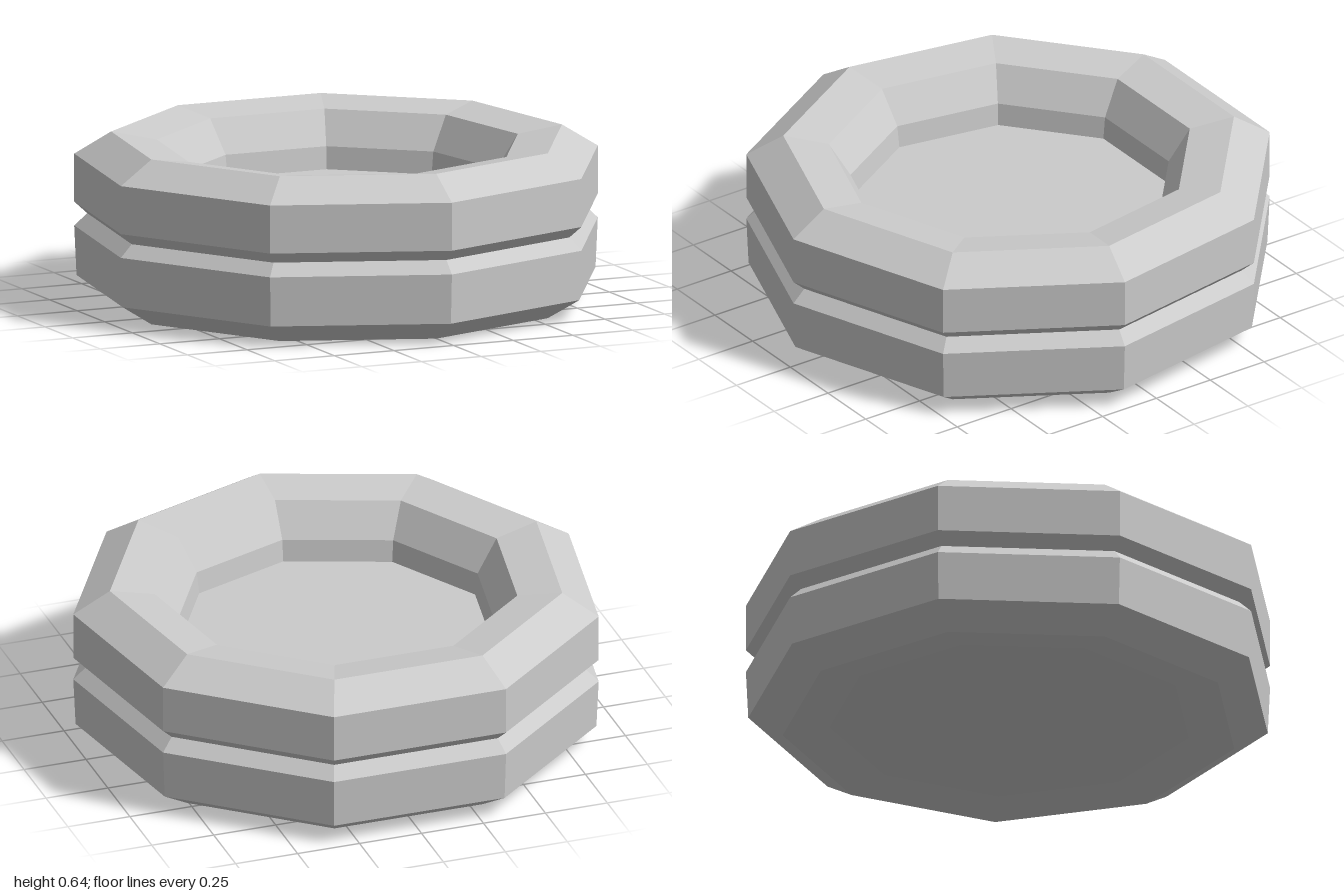
import * as THREE from 'three';

const SIDES = 9;

// Nine-sided turned part with one corner on +z; profile runs [radius, y] bottom to top.
function turned(name, profile, material) {
  const points = profile.map(([r, y]) => new THREE.Vector2(r, y));
  const mesh = new THREE.Mesh(new THREE.LatheGeometry(points, SIDES), material);
  mesh.name = name;
  return mesh;
}

export function createModel() {
  const group = new THREE.Group();
  group.name = 'groovedDish';
  const material = new THREE.MeshStandardMaterial({ color: 0xcccccc, flatShading: true });

  // Lower half: hollowed underside, bevel, wall and the lower lip of the groove
  const base = turned('base', [
    [0, 0.07], [0.695, 0.025], [0.874, 0], [1.006, 0.08], [1.015, 0.272], [0.965, 0.32],
  ], material);

  // Upper half: groove lip, wall, bevel, sloping rim and stepped inner wall
  const rim = turned('rim', [
    [0.965, 0.32], [1.015, 0.364], [1.015, 0.55], [0.874, 0.638],
    [0.7, 0.61], [0.617, 0.48], [0.606, 0.393],
  ], material);

  // Sunken floor of the dish
  const floor = turned('floor', [[0.606, 0.393], [0, 0.393]], material);

  group.add(base, rim, floor);
  // An odd-sided ring reaches further on its corner side, so shift it to centre
  group.children.forEach((part) => { part.position.z = -0.03; });
  return group;
}
